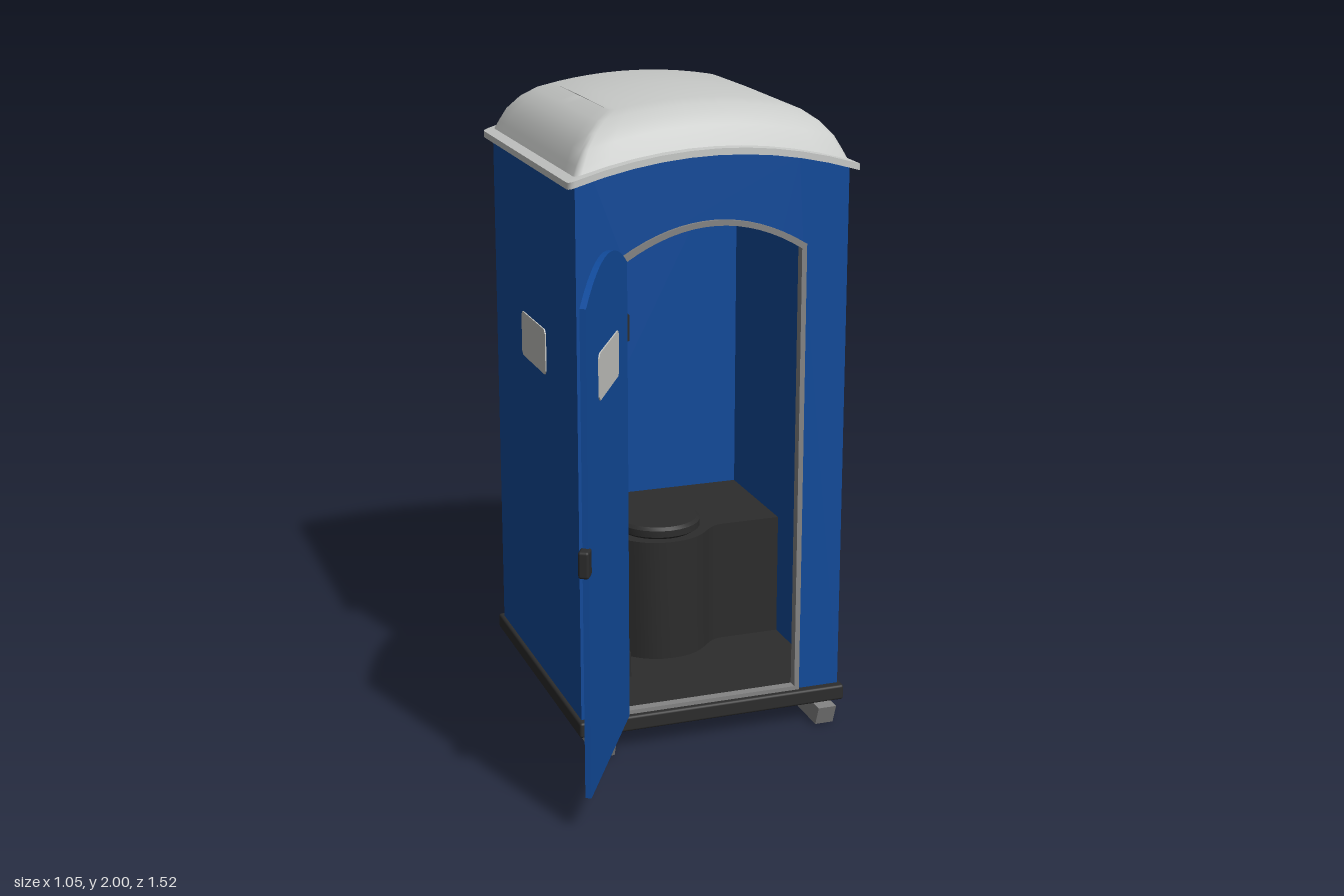
import * as THREE from 'three';
import { toCreasedNormals } from 'three/addons/utils/BufferGeometryUtils.js';
import { RoundedBoxGeometry } from 'three/addons/geometries/RoundedBoxGeometry.js';

const paint = (name, color) => Object.assign(new THREE.MeshStandardMaterial({ color }), { name });

export function createModel() {
  const blue = paint('blue plastic', 0x114a9a);
  const white = paint('pale roof plastic', 0xc8cac8);
  const ventGrey = paint('vent grey', 0xc4c4c0);
  const grey = paint('skid grey', 0x848484);
  const dark = paint('dark plastic', 0x2c2c2c);

  const model = new THREE.Group();
  model.name = 'portableToilet';
  const cabin = new THREE.Group();
  cabin.name = 'cabin';
  cabin.position.set(0.065, 0, -0.24);
  model.add(cabin);

  const add = (name, geo, mat, x = 0, y = 0, z = 0, parent = cabin) => {
    const m = new THREE.Mesh(geo, mat);
    m.name = name;
    m.position.set(x, y, z);
    parent.add(m);
    return m;
  };
  const box = (w, h, d) => new THREE.BoxGeometry(w, h, d);
  const extrude = (shape, depth) => new THREE.ExtrudeGeometry(shape, { depth, bevelEnabled: false, curveSegments: 10 });

  // Outline with a straight base and an arched top
  const archPoints = (half, bottom, side, peak) => {
    const pts = [new THREE.Vector2(-half, bottom), new THREE.Vector2(half, bottom)];
    for (let i = 0; i <= 16; i++) {
      const u = 1 - i / 8;
      pts.push(new THREE.Vector2(u * half, side + (peak - side) * (1 - u * u)));
    }
    return pts;
  };
  const archShape = (outer, inner) => {
    const s = new THREE.Shape(archPoints(...outer));
    if (inner) s.holes.push(new THREE.Path(archPoints(...inner)));
    return s;
  };

  // Vent plate with clipped corners
  const ventGeo = (w, h, c = 0.012) => extrude(new THREE.Shape([
    [-w + c, -h], [w - c, -h], [w, -h + c], [w, h - c], [w - c, h], [-w + c, h], [-w, h - c], [-w, -h + c],
  ].map(p => new THREE.Vector2(...p))), 0.004);

  // Skids with raked ends, and the base
  const skid = new THREE.Shape([[-0.495, 0], [0.495, 0], [0.52, 0.065], [-0.52, 0.065]].map(p => new THREE.Vector2(...p)));
  for (const s of [-1, 1]) {
    add('skid', extrude(skid, 0.06).translate(0, 0, -0.03), grey, s * 0.3675).rotation.y = Math.PI / 2;
  }
  add('base', new RoundedBoxGeometry(0.885, 0.05, 0.955, 2, 0.008), dark, 0, 0.088, 0);

  // Walls
  const opening = [0.285, 0.115, 1.56, 1.65];
  const wall = [0.43, 0.11, 1.79, 1.857];
  add('frontWall', extrude(archShape(wall, opening), 0.02), blue, 0, 0, 0.43);
  add('backWall', extrude(archShape(wall), 0.02), blue, 0, 0, -0.45);
  for (const s of [-1, 1]) {
    add('sideWall', box(0.02, 1.68, 0.86), blue, s * 0.42, 0.95, 0);
    add('sideVent', ventGeo(0.132, 0.072), ventGrey, s * 0.43, 1.207, -0.003).rotation.y = s * Math.PI / 2;
  }
  add('doorFrame', extrude(archShape([0.293, 0.112, 1.566, 1.658], [0.277, 0.126, 1.553, 1.641]), 0.03), grey, 0, 0, 0.43);

  add('roof', roofGeometry(), white);

  // Holding tank with a rounded front under the seat
  const tank = new THREE.Shape();
  tank.moveTo(-0.41, -0.43);
  tank.lineTo(-0.41, -0.02);
  tank.lineTo(-0.21, -0.02);
  tank.bezierCurveTo(-0.14, -0.02, -0.13, 0.09, 0, 0.09);
  tank.bezierCurveTo(0.13, 0.09, 0.14, -0.02, 0.21, -0.02);
  tank.lineTo(0.41, -0.02);
  tank.lineTo(0.41, -0.43);
  const tankGeo = extrude(tank, 0.41).rotateX(Math.PI / 2);
  add('tank', toCreasedNormals(tankGeo, 0.6), dark, 0, 0.52, 0);
  const lid = new THREE.LatheGeometry([[0, 0], [0.125, 0], [0.14, 0.01], [0.14, 0.032], [0.13, 0.042], [0, 0.042]]
    .map(p => new THREE.Vector2(...p)), 28);
  add('seatLid', toCreasedNormals(lid, 0.6), dark, 0, 0.52, -0.07);

  // Paper dispenser on the side wall
  add('paperDispenser', new RoundedBoxGeometry(0.12, 0.13, 0.18, 3, 0.035), dark, -0.355, 0.88, 0.19);
  add('paperRoll', new THREE.CylinderGeometry(0.035, 0.035, 0.1, 16).rotateX(Math.PI / 2), ventGrey, -0.35, 0.83, 0.19);

  // Open door, built from its hinge line outwards
  const door = new THREE.Group();
  door.name = 'door';
  door.position.set(-0.226, 0, 0.237);
  door.rotation.y = -2.085;
  model.add(door);
  add('doorPanel', extrude(archShape([0.284, 0.12, 1.56, 1.645]), 0.018), blue, 0.284, 0, -0.009, door);
  for (const s of [-1, 1]) {
    add('doorVent', ventGeo(0.136, 0.068), ventGrey, 0.283, 1.327, s * 0.009, door).rotation.y = s > 0 ? 0 : Math.PI;
  }
  add('handle', new RoundedBoxGeometry(0.045, 0.08, 0.032, 2, 0.008), dark, 0.578, 0.84, 0, door);
  for (const y of [0.29, 1.36]) add('hinge', box(0.02, 0.08, 0.035), dark, -0.287, y, 0.463);

  return model;
}

// Arched roof: rounded rectangles of shrinking size, each bent over the arch
function roofGeometry() {
  const W = 0.457, D = 0.48, R = 0.02, SIDE = 10, ARC = 3;
  const loop = (a, b, lift) => {
    const r = Math.min(R, a, b);
    const corners = [[1, 1], [-1, 1], [-1, -1], [1, -1]];
    const arc = (k, i) => {
      const t = (k + i / ARC) * Math.PI / 2;
      return [corners[k][0] * (a - r) + r * Math.cos(t), corners[k][1] * (b - r) + r * Math.sin(t)];
    };
    const pts = [];
    for (let k = 0; k < 4; k++) {
      for (let i = 0; i <= ARC; i++) pts.push(arc(k, i));
      const p = arc(k, ARC), q = arc((k + 1) % 4, 0);
      for (let i = 1; i < SIDE; i++) pts.push([p[0] + (q[0] - p[0]) * i / SIDE, p[1] + (q[1] - p[1]) * i / SIDE]);
    }
    return pts.flatMap(([x, z]) => [x, 1.78 + 0.075 * (1 - (x / W) ** 2) + lift, z]);
  };
  // Inset from the rim and height above the arch
  const profile = [[0, 0], [0, 0.02], [0.028, 0.022], [0.04, 0.045], [0.06, 0.08], [0.095, 0.112], [0.135, 0.132], [0.185, 0.143]];
  const rings = [loop(W, 0, 0), ...profile.map(([s, h]) => loop(W - s, D - s, h)), loop(W - 0.185, 0, 0.145)];
  const n = rings[0].length / 3;
  const index = [];
  for (let j = 0; j < rings.length - 1; j++) {
    for (let i = 0; i < n; i++) {
      const a = j * n + i, b = j * n + (i + 1) % n;
      index.push(a, a + n, b, b, a + n, b + n);
    }
  }
  const geo = new THREE.BufferGeometry();
  geo.setAttribute('position', new THREE.Float32BufferAttribute(rings.flat(), 3));
  geo.setIndex(index);
  return toCreasedNormals(geo, 0.7);
}
